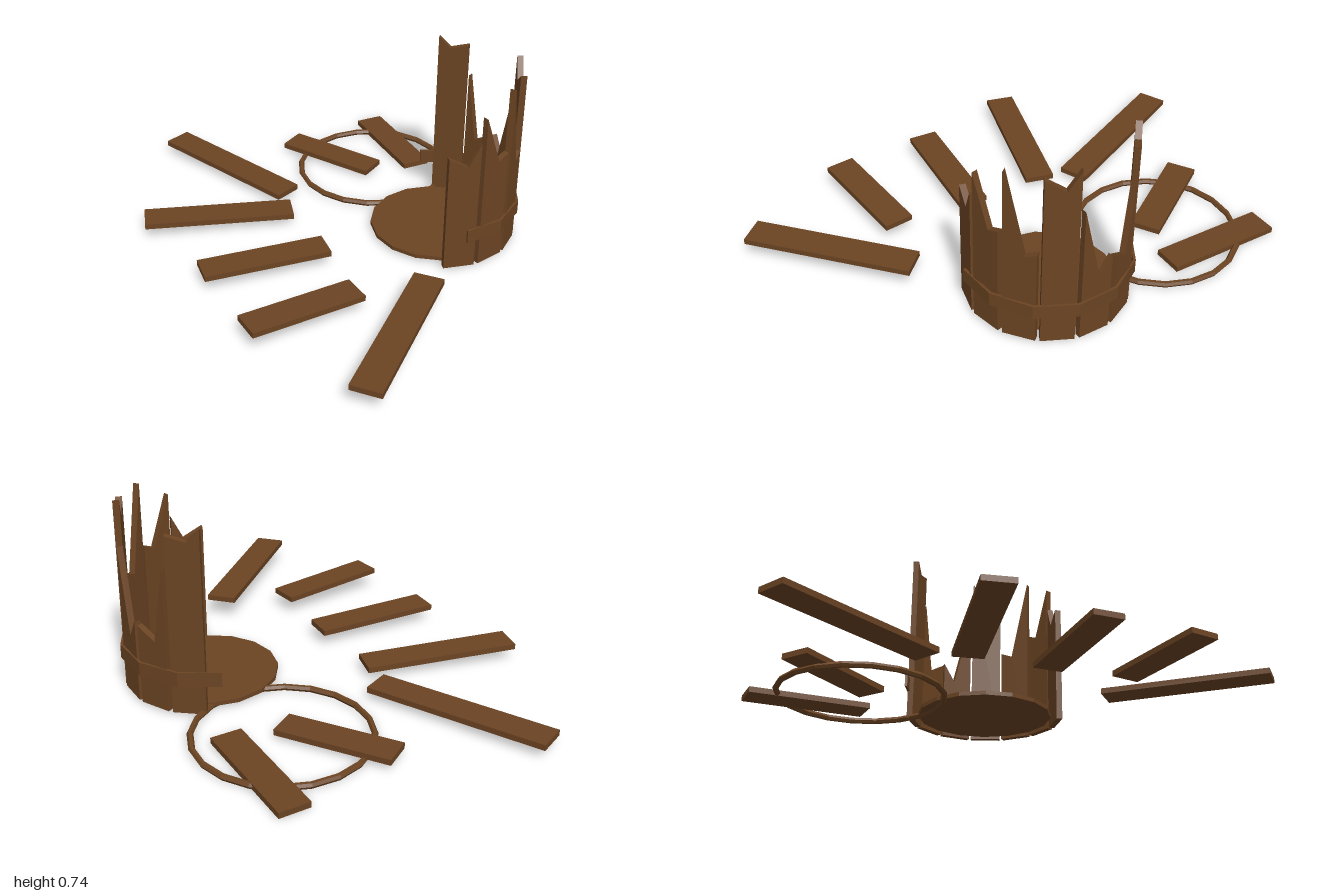
import * as THREE from 'three';

const CX = 0.418, CZ = -0.046; // barrel axis
const wood = new THREE.MeshStandardMaterial({ color: 0x6b4423 });
wood.name = 'brown wood';

function add(group, geometry, name) {
  const flat = geometry.index ? geometry.toNonIndexed() : geometry;
  flat.computeVertexNormals();
  const mesh = new THREE.Mesh(flat, wood);
  mesh.name = name;
  group.add(mesh);
  return mesh;
}

// Upright stave with a splintered top: left, notch and right heights seen from outside
function addStave(group, degrees, left, notch, right, index) {
  const w = 0.0615, base = 0.01, depth = 0.024;
  const shape = new THREE.Shape();
  shape.moveTo(-w, base);
  shape.lineTo(w, base);
  shape.lineTo(w, right);
  shape.lineTo(w * 0.22, notch);
  shape.lineTo(-w, left);
  shape.closePath();
  const geometry = new THREE.ExtrudeGeometry(shape, { depth, bevelEnabled: false });
  geometry.translate(0, 0, 0.285);
  const a = THREE.MathUtils.degToRad(degrees);
  geometry.rotateY(Math.PI / 2 - a);
  geometry.translate(CX, 0, CZ);
  add(group, geometry, 'stave' + index);
}

// Fallen plank lying between two end points, given at mid thickness
function addPlank(group, from, to, index) {
  const a = new THREE.Vector3(...from), b = new THREE.Vector3(...to);
  const mesh = add(group, new THREE.BoxGeometry(0.118, 0.022, a.distanceTo(b)), 'fallenPlank' + index);
  mesh.position.copy(a).add(b).multiplyScalar(0.5);
  mesh.lookAt(b);
}

// Open band bent around the standing staves
function addBand(group) {
  const angles = [-86, -58, -29, 0, 29, 58, 86].map(THREE.MathUtils.degToRad);
  const point = (r) => (a) => new THREE.Vector2(r * Math.cos(a), r * Math.sin(a));
  const outline = [...angles.map(point(0.327)), ...angles.map(point(0.317)).reverse()];
  const geometry = new THREE.ExtrudeGeometry(new THREE.Shape(outline), { depth: 0.055, bevelEnabled: false });
  geometry.rotateX(-Math.PI / 2);
  geometry.translate(CX, 0.125, CZ);
  add(group, geometry, 'brokenBand');
}

export function createModel() {
  const model = new THREE.Group();
  model.name = 'brokenBarrel';

  // Round bottom
  const bottom = new THREE.CylinderGeometry(0.267, 0.267, 0.016, 16);
  bottom.rotateY(Math.PI / 16);
  bottom.translate(CX, 0.021, CZ);
  add(model, bottom, 'barrelBottom');

  // Standing staves
  const tops = [
    [0.49, 0.45, 0.545], [0.64, 0.44, 0.46], [0.715, 0.38, 0.4], [0.71, 0.66, 0.74],
    [0.57, 0.255, 0.33], [0.32, 0.275, 0.56], [0.69, 0.67, 0.715],
  ];
  tops.forEach((t, i) => addStave(model, 90 - (i * 360) / 14, ...t, i + 1));

  addBand(model);

  // Loose hoop on the ground
  const hoop = new THREE.TorusGeometry(0.32, 0.012, 6, 20);
  hoop.rotateX(-Math.PI / 2);
  hoop.translate(0.278, 0.014, -0.56);
  add(model, hoop, 'looseHoop');

  // Scattered planks, outer end first
  const planks = [
    [[0.367, 0.012, -0.988], [0.47, 0.02, -0.522]],
    [[-0.04, 0.034, -0.83], [0.27, 0.026, -0.52]],
    [[-0.557, 0.048, -0.935], [-0.137, 0.038, -0.375]],
    [[-0.748, 0.06, -0.255], [-0.147, 0.044, -0.23]],
    [[-0.565, 0.066, 0.16], [-0.067, 0.058, 0.085]],
    [[-0.452, 0.083, 0.548], [-0.018, 0.068, 0.403]],
    [[-0.122, 0.086, 0.962], [0.253, 0.086, 0.413]],
  ];
  planks.forEach(([a, b], i) => addPlank(model, a, b, i + 1));

  return model;
}
